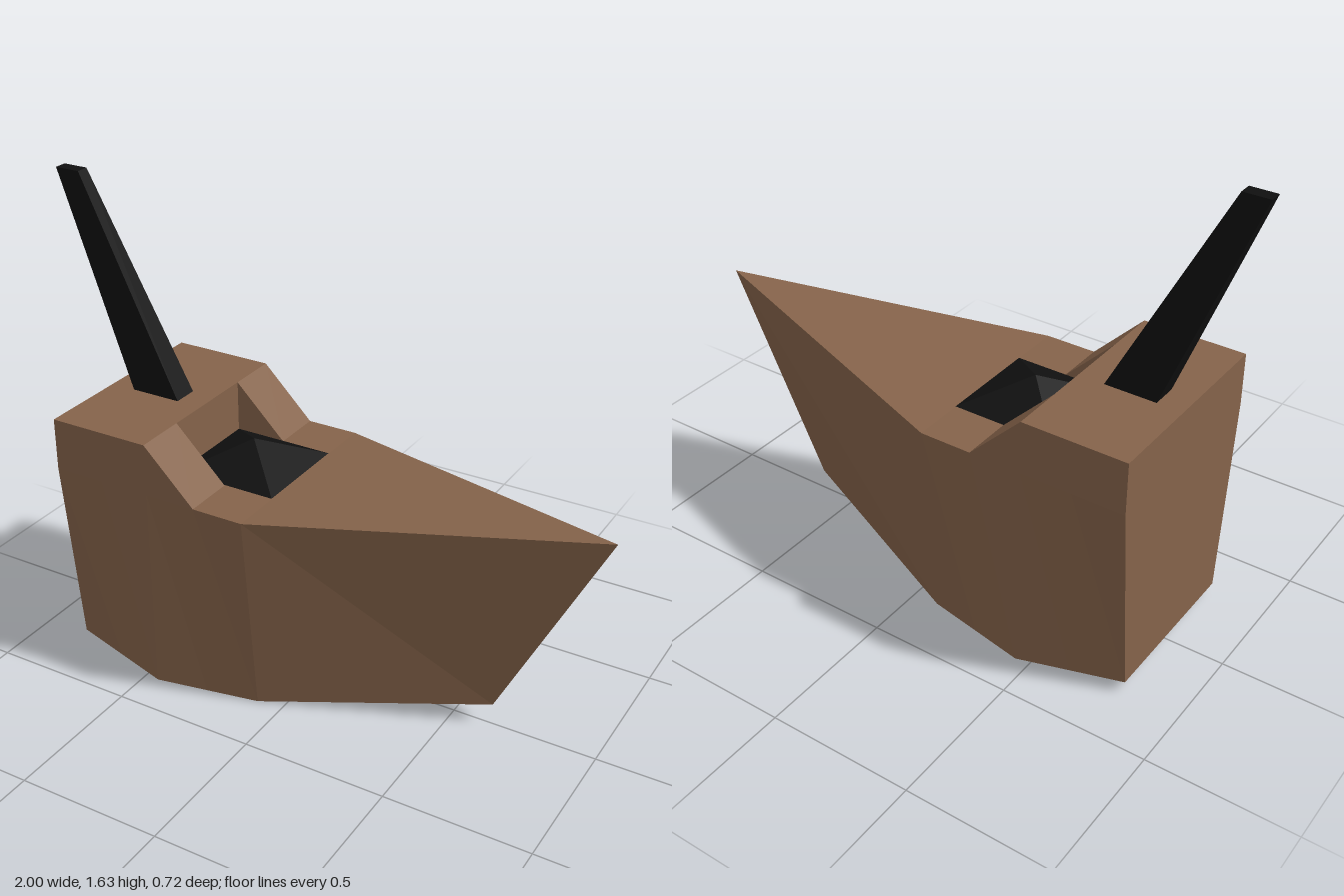
import * as THREE from 'three';

const wood = new THREE.MeshStandardMaterial({ color: 0x85634a, flatShading: true });
const black = new THREE.MeshStandardMaterial({ color: 0x101010, flatShading: true });

const DECK = 0.725, TOP = 0.905, HALF = 0.36;

// Skins a row of four-cornered rings, closing both ends
function loft(rings) {
  const pos = [];
  const quad = (a, b, c, d) => pos.push(...a, ...b, ...c, ...a, ...c, ...d);
  for (let i = 0; i < rings.length - 1; i++) {
    const p = rings[i], q = rings[i + 1];
    for (let j = 0; j < 4; j++) {
      const k = (j + 1) % 4;
      quad(p[j], p[k], q[k], q[j]);
    }
  }
  const first = rings[0], last = rings[rings.length - 1];
  quad(first[0], first[3], first[2], first[1]);
  quad(last[0], last[1], last[2], last[3]);
  const g = new THREE.BufferGeometry();
  g.setAttribute('position', new THREE.Float32BufferAttribute(pos, 3));
  g.computeVertexNormals();
  return g;
}

export function createModel() {
  const model = new THREE.Group();
  model.name = 'boat';
  const add = (name, geometry, material) => {
    const mesh = new THREE.Mesh(geometry, material);
    mesh.name = name;
    model.add(mesh);
    return mesh;
  };

  // Hull stations, stern to bow: deck x, y, half width, then keel x, y, half width
  const stations = [
    [-0.81, DECK, HALF, -0.81, 0.04, 0.29],
    [-0.63, DECK, HALF, -0.63, 0.02, 0.325],
    [-0.45, DECK, HALF, -0.45, 0, 0.36],
    [-0.27, DECK, HALF, -0.27, 0, 0.325],
    [-0.09, DECK, HALF, -0.09, 0, 0.29],
    [1.0, 0.797, 0, 0.637, 0.075, 0],
  ];
  add('hull', loft(stations.map(([dx, dy, dw, kx, ky, kw]) =>
    [[dx, dy, dw], [kx, ky, kw], [kx, ky, -kw], [dx, dy, -dw]])), wood);

  // Raised stern deck
  const house = add('sternDeck', new THREE.BoxGeometry(0.36, TOP - DECK, HALF * 2), wood);
  house.position.set(-0.63, (TOP + DECK) / 2, 0);

  // Sloping side walls of the cockpit
  const slope = new THREE.Shape([
    new THREE.Vector2(-0.45, DECK),
    new THREE.Vector2(-0.27, DECK),
    new THREE.Vector2(-0.45, TOP),
  ]);
  for (const [name, z] of [['rampFront', 0.18], ['rampBack', -HALF]]) {
    const ramp = add(name, new THREE.ExtrudeGeometry(slope, { depth: 0.18, bevelEnabled: false }), wood);
    ramp.position.z = z;
  }

  // Low pyramid hatch filling the cockpit
  const hatch = new THREE.ConeGeometry(0.18 * Math.SQRT2, 0.09, 4, 1);
  hatch.rotateY(Math.PI / 4);
  add('hatch', hatch, black).position.set(-0.27, DECK + 0.047, 0);

  // Tapered mast raked towards the stern
  const section = (x0, x1, y, w) => [[x0, y, w], [x0, y, -w], [x1, y, -w], [x1, y, w]];
  add('mast', loft([section(-0.72, -0.54, TOP - 0.002, 0.045), section(-1, -0.91, 1.63, 0.022)].map(r => r.reverse())), black);

  return model;
}
